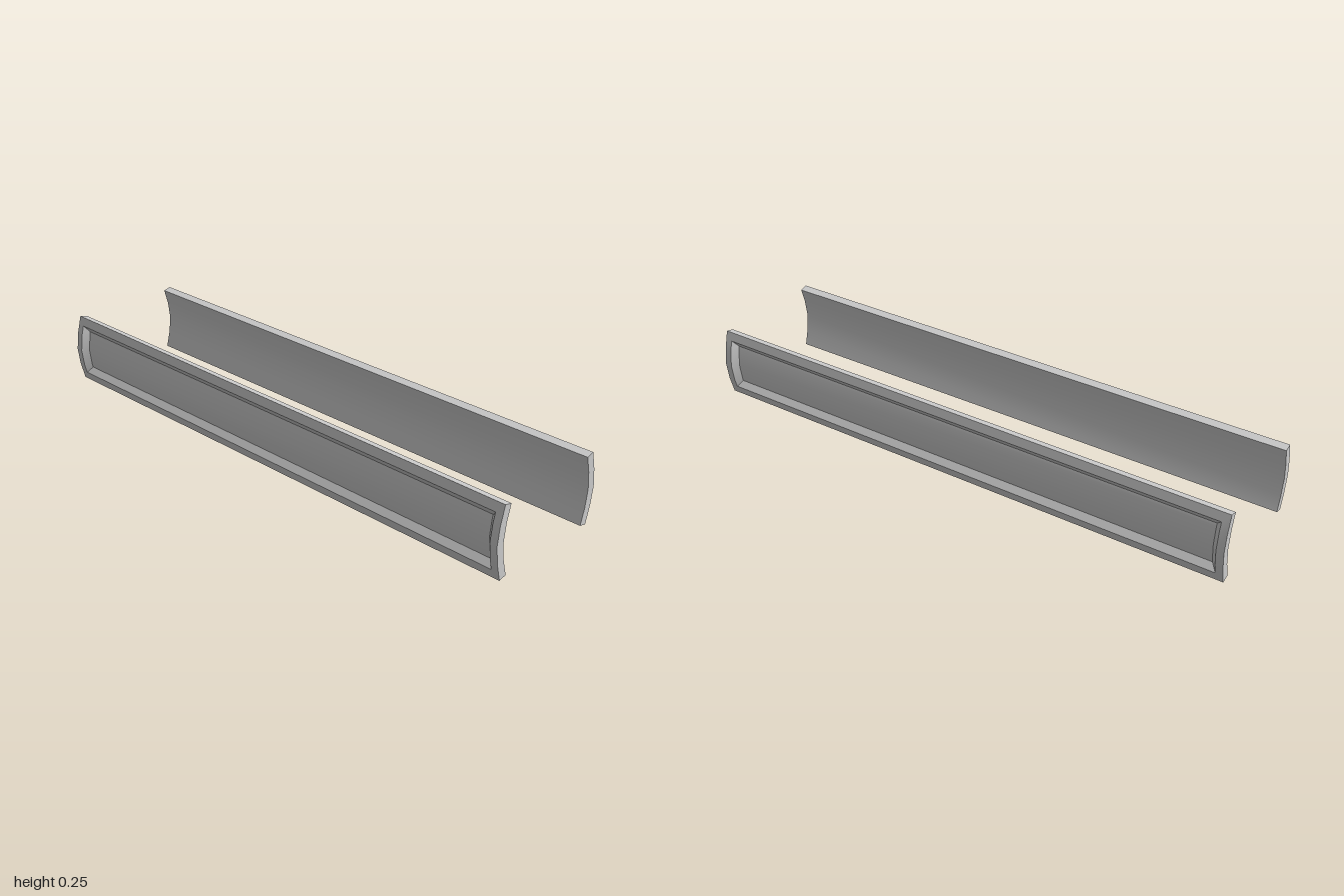
import * as THREE from 'three';
import { toCreasedNormals } from 'three/addons/utils/BufferGeometryUtils.js';

// Ring of points: up the curved profile at +z, then back down it at -z
function ring(profile, z) {
  const up = profile.map(([x, y]) => [x, y, z]);
  const down = profile.map(([x, y]) => [x, y, -z]).reverse();
  return [...up, ...down];
}

// Five-point bowed profile, symmetric about the middle height
function bow(xEnd, yEnd, xQuarter, xMiddle) {
  const h = 0.1275, q = 0.064;
  return [[xEnd, yEnd], [xQuarter, q], [xMiddle, h], [xQuarter, 2 * h - q], [xEnd, 2 * h - yEnd]];
}

function railGeometry() {
  const rings = [
    ring(bow(0.191, 0.007, 0.2065, 0.2145), 1),      // plain inner face
    ring(bow(0.2196, 0, 0.2366, 0.2448), 1),         // outer edge of the rim
    ring(bow(0.2278, 0.031, 0.2366, 0.2448), 0.974), // opening of the recess
    ring(bow(0.2115, 0.054, 0.2142, 0.2222), 0.955), // recessed floor
  ];
  const positions = [];
  const quad = (a, b, c, d) => positions.push(...a, ...b, ...c, ...a, ...c, ...d);

  // Ends and edges, rim, sloping recess walls
  const count = rings[0].length;
  for (let k = 0; k < rings.length - 1; k++) {
    const p = rings[k], q = rings[k + 1];
    for (let i = 0; i < count; i++) {
      const j = (i + 1) % count;
      quad(p[i], q[i], q[j], p[j]);
    }
  }

  // Inner face and recess floor
  const inner = rings[0], floor = rings[3];
  for (let i = 0; i < count / 2 - 1; i++) {
    const c = count - 2 - i, d = count - 1 - i;
    quad(inner[i], inner[i + 1], inner[c], inner[d]);
    quad(floor[i], floor[d], floor[c], floor[i + 1]);
  }

  const geometry = new THREE.BufferGeometry();
  geometry.setAttribute('position', new THREE.Float32BufferAttribute(positions, 3));
  return toCreasedNormals(geometry, Math.PI / 7);
}

export function createModel() {
  const model = new THREE.Group();
  model.name = 'sideRails';
  const geometry = railGeometry();
  const material = new THREE.MeshStandardMaterial({ color: 0xcccccc });

  // Two identical rails, bowed away from each other
  ['leftRail', 'rightRail'].forEach((name, i) => {
    const rail = new THREE.Mesh(geometry, material);
    rail.name = name;
    rail.rotation.y = i * Math.PI;
    model.add(rail);
  });
  return model;
}
